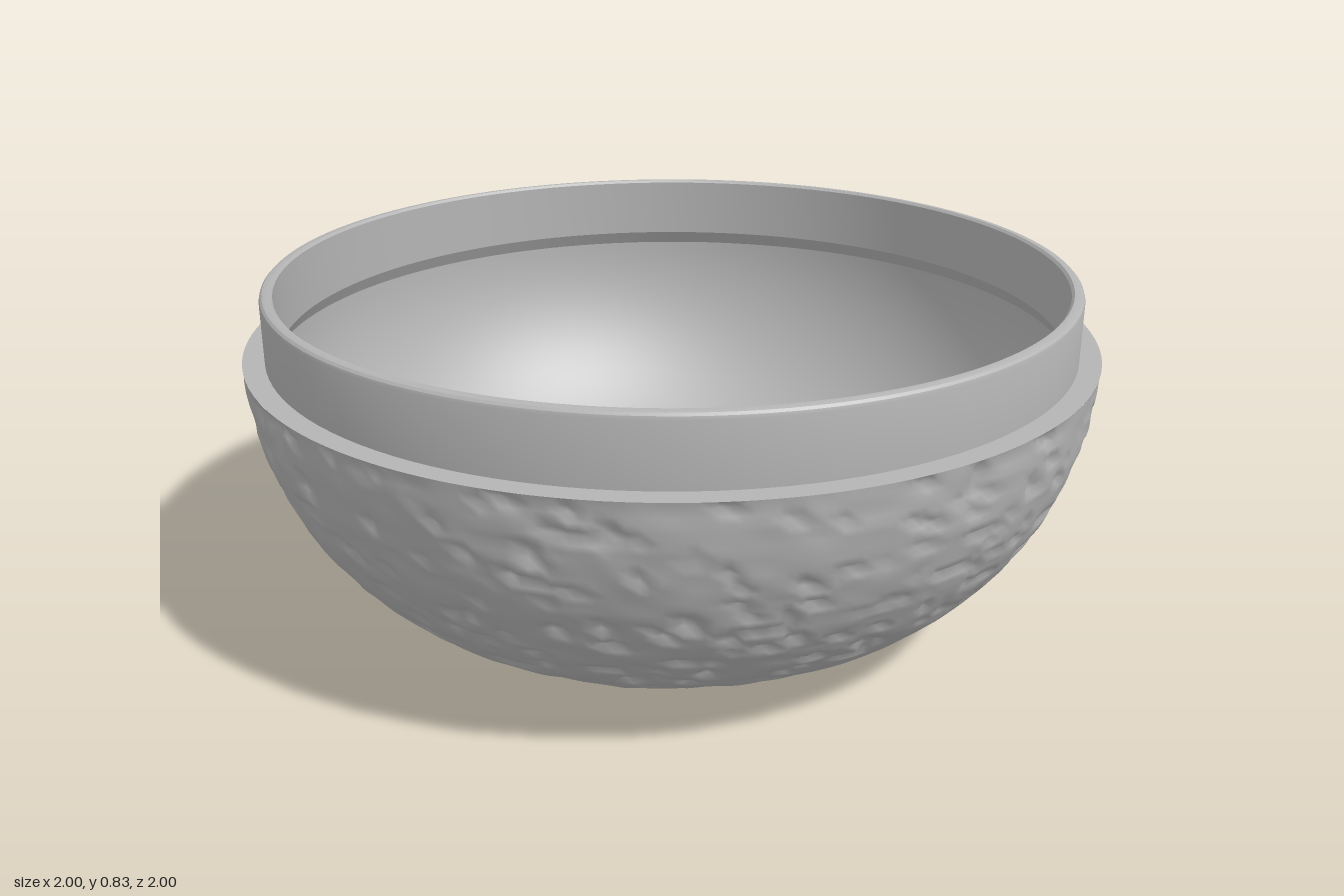
import * as THREE from 'three';
import { mergeVertices, toCreasedNormals } from 'three/addons/utils/BufferGeometryUtils.js';

const V = (x, y) => new THREE.Vector2(x, y);

// Seeded lattice hash and smooth 3D noise, 0..1
function hash(x, y, z) {
  let h = Math.imul(x, 374761393) ^ Math.imul(y, 668265263) ^ Math.imul(z, 1274126177);
  h = Math.imul(h ^ (h >>> 13), 1103515245);
  return ((h ^ (h >>> 16)) >>> 0) / 4294967295;
}
function noise(x, y, z) {
  const c = [x, y, z].map(Math.floor);
  const [u, v, w] = [x, y, z].map((n, i) => THREE.MathUtils.smoothstep(n - c[i], 0, 1));
  let sum = 0;
  for (let i = 0; i < 8; i++) {
    const a = i & 1, b = (i >> 1) & 1, d = i >> 2;
    sum += hash(c[0] + a, c[1] + b, c[2] + d) * (a ? u : 1 - u) * (b ? v : 1 - v) * (d ? w : 1 - w);
  }
  return sum;
}

// Quarter-ellipse bowl section: flat floor of radius flat, then curving up to (radius, top)
function bowlSection(flat, radius, floor, top, floorSteps, wallSteps) {
  const pts = [];
  for (let i = 0; i < floorSteps; i++) pts.push(V((flat * i) / floorSteps, floor));
  for (let i = 0; i <= wallSteps; i++) {
    const a = (i / wallSteps) * Math.PI / 2;
    pts.push(V(flat + (radius - flat) * Math.sin(a), top - (top - floor) * Math.cos(a)));
  }
  return pts;
}

// Outer skin, pressed inward by small wide dents
function hammeredSkin() {
  let geo = new THREE.LatheGeometry(bowlSection(0.35, 1, 0, 0.68, 16, 64), 288);
  const pos = geo.attributes.position, nor = geo.attributes.normal;
  const p = new THREE.Vector3(), n = new THREE.Vector3();
  for (let i = 0; i < pos.count; i++) {
    p.fromBufferAttribute(pos, i);
    n.fromBufferAttribute(nor, i);
    const ripple = noise(p.x * 15 + 50, p.y * 32 + 50, p.z * 15 + 50);
    const pits = noise(p.x * 22 + 90, p.y * 50 + 90, p.z * 22 + 90);
    const depth = 0.007 * ripple + 0.012 * THREE.MathUtils.smoothstep(pits, 0.68, 0.82);
    const fade = THREE.MathUtils.smoothstep(0.68 - p.y, 0, 0.02);
    p.addScaledVector(n, -depth * fade);
    pos.setXYZ(i, p.x, p.y, p.z);
  }
  geo.deleteAttribute('uv');
  geo.deleteAttribute('normal');
  geo = mergeVertices(geo, 1e-5);
  geo.computeVertexNormals();
  return geo;
}

function lathe(points) {
  return toCreasedNormals(new THREE.LatheGeometry(points, 128), 0.5);
}

export function createModel() {
  const model = new THREE.Group();
  model.name = 'bowl';
  const grey = new THREE.MeshStandardMaterial({ color: 0xb4b4b4 });
  grey.name = 'grey';
  const add = (name, geo) => {
    const mesh = new THREE.Mesh(geo, grey);
    mesh.name = name;
    model.add(mesh);
  };

  add('hammeredSkin', hammeredSkin());

  // Shoulder ledge, raised collar with rounded lip, and its undercut inside
  add('collar', lathe([
    V(1, 0.68), V(0.95, 0.68), V(0.95, 0.82), V(0.948, 0.827), V(0.943, 0.832), V(0.936, 0.834),
    V(0.926, 0.834), V(0.92, 0.828), V(0.92, 0.68), V(0.94, 0.645),
  ]));

  // Smooth interior, rising gently to a small round boss at the centre
  const inside = bowlSection(0.33, 0.94, 0.05, 0.645, 33, 40);
  for (const p of inside) {
    p.y += 0.012 * (1 - THREE.MathUtils.smoothstep(p.x, 0.05, 0.33));
    p.y += 0.015 * (1 - THREE.MathUtils.smoothstep(p.x, 0.06, 0.12));
  }
  add('interior', new THREE.LatheGeometry(inside.reverse(), 128));

  return model;
}
